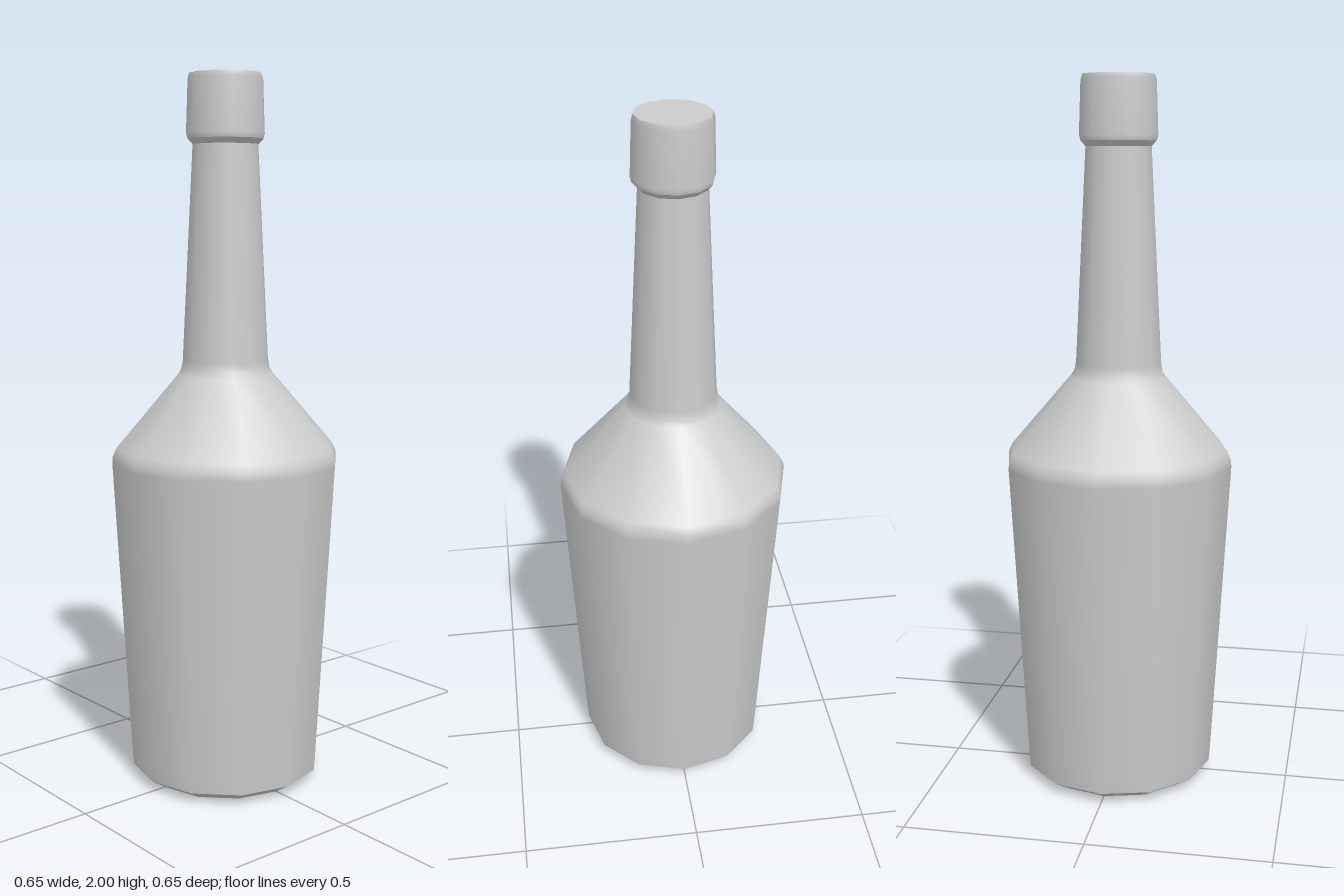
import * as THREE from 'three';

const SIDES = 12;

// Revolve a list of [radius, height] pairs, running from bottom to top
function turned(name, profile, material) {
  const points = profile.map(([r, y]) => new THREE.Vector2(r, y));
  const mesh = new THREE.Mesh(new THREE.LatheGeometry(points, SIDES), material);
  mesh.name = name;
  return mesh;
}

export function createModel() {
  const bottle = new THREE.Group();
  bottle.name = 'bottle';
  const material = new THREE.MeshStandardMaterial({ color: 0xcccccc, side: THREE.DoubleSide });

  // Each part is a separate surface so that the edges between them stay sharp
  const parts = {
    // hollow underside, from its centre out to the standing rim
    hollowBase: [[0, 0.05], [0.12, 0.042], [0.18, 0.025], [0.21, 0]],
    baseRim: [[0.21, 0], [0.225, 0]],
    baseBevel: [[0.225, 0], [0.272, 0.03]],
    // tapered body, rounded shoulder and neck
    bodyAndNeck: [
      [0.272, 0.03], [0.275, 0.06], [0.324, 0.925], [0.323, 0.945], [0.312, 0.97],
      [0.137, 1.175], [0.127, 1.19], [0.122, 1.215], [0.092, 1.81],
    ],
    // collar around the mouth
    collarUnderside: [[0.092, 1.81], [0.106, 1.825]],
    collar: [[0.106, 1.825], [0.11, 1.84], [0.105, 1.985], [0.101, 2]],
    topCap: [[0.101, 2], [0, 2]],
  };
  for (const [name, profile] of Object.entries(parts)) {
    bottle.add(turned(name, profile, material));
  }
  return bottle;
}
